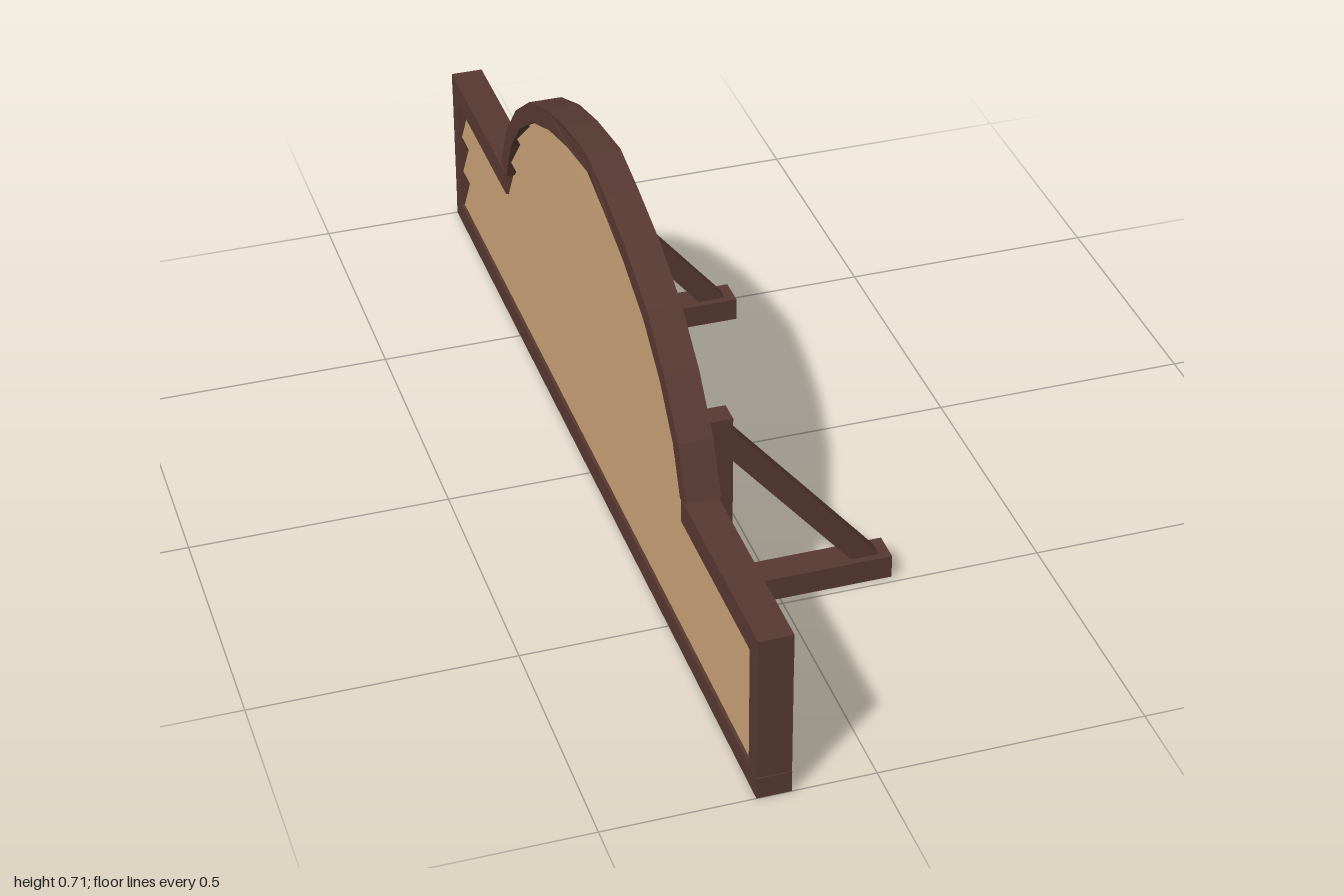
import * as THREE from 'three';

const darkWood = new THREE.MeshStandardMaterial({ color: 0x573931, flatShading: true });
const lightWood = new THREE.MeshStandardMaterial({ color: 0xb8946c, flatShading: true });

const FRAME_X = -0.187, FRAME_DEPTH = 0.064;

// Half outlines of the arch as [z, y], from foot to crown
const OUTER = [[0.608, 0.348], [0.563, 0.445], [0.483, 0.536], [0.38, 0.611], [0.252, 0.665], [0.13, 0.697], [0, 0.71]];
const INNER = [[0.572, 0.335], [0.532, 0.425], [0.458, 0.508], [0.36, 0.578], [0.238, 0.628], [0.12, 0.66], [0, 0.673]];
const MIDDLE = OUTER.map(([z, y], i) => [(z + INNER[i][0]) / 2, (y + INNER[i][1]) / 2]);

function add(parent, name, geometry, material = darkWood) {
  const mesh = new THREE.Mesh(geometry, material);
  mesh.name = name;
  parent.add(mesh);
  return mesh;
}

// Box given by its limits on each axis
function box(parent, name, [x0, x1], [y0, y1], [z0, z1]) {
  const g = new THREE.BoxGeometry(x1 - x0, y1 - y0, z1 - z0);
  g.translate((x0 + x1) / 2, (y0 + y1) / 2, (z0 + z1) / 2);
  return add(parent, name, g);
}

// Polygon extruded symmetrically about its plane
function slab(points, depth) {
  const shape = new THREE.Shape(points.map(([a, b]) => new THREE.Vector2(a, b)));
  return new THREE.ExtrudeGeometry(shape, { depth, bevelEnabled: false }).translate(0, 0, -depth / 2);
}

// Half width of the panel at height y
function halfWidth(y) {
  for (let i = 1; i < MIDDLE.length; i++) {
    const [z0, y0] = MIDDLE[i - 1], [z1, y1] = MIDDLE[i];
    if (y <= y1) return Math.min(0.6, z0 + (z1 - z0) * (y - y0) / (y1 - y0));
  }
  return 0.01;
}

function mirrorOutline(half) {
  return [...half, ...half.slice(0, -1).reverse().map(([z, y]) => [-z, y])];
}

function createFrame() {
  const frame = new THREE.Group();
  frame.name = 'frame';
  const xs = [FRAME_X - FRAME_DEPTH / 2, FRAME_X + FRAME_DEPTH / 2];
  box(frame, 'bottomRail', xs, [0, 0.043], [-1, 1]);
  for (const s of [-1, 1]) {
    const span = (a, b) => (s > 0 ? [a, b] : [-b, -a]);
    box(frame, 'endPost', xs, [0.044, 0.289], span(0.957, 0.999));
    box(frame, 'topRail', xs, [0.29, 0.338], span(0.578, 1));
  }

  // Arch band, its crown leaning slightly forward
  const band = [...mirrorOutline(OUTER), ...mirrorOutline(INNER).reverse()];
  const arch = slab(band, FRAME_DEPTH).rotateY(Math.PI / 2).translate(FRAME_X, 0, 0);
  const p = arch.attributes.position;
  for (let i = 0; i < p.count; i++) {
    if (Math.abs(p.getZ(i)) < 0.05) p.setX(i, p.getX(i) + 0.005);
  }
  arch.computeVertexNormals();
  add(frame, 'arch', arch);
  return frame;
}

// Clapboards: thick at the lower edge, thin at the upper edge
function createPlanks() {
  const planks = new THREE.Group();
  planks.name = 'planks';
  const pitch = 0.0836;
  for (let i = 0; i < 8; i++) {
    const y0 = 0.042 + i * pitch, y1 = Math.min(y0 + pitch, 0.69);
    const low = i < 3 ? 0.965 : halfWidth(y0), high = i < 3 ? 0.965 : halfWidth(y1);
    const g = new THREE.BoxGeometry(2, 2, 2);
    const p = g.attributes.position;
    for (let k = 0; k < p.count; k++) {
      const top = p.getY(k) > 0;
      p.setXYZ(k, FRAME_X + p.getX(k) * (top ? 0.004 : 0.026), top ? y1 : y0, p.getZ(k) * (top ? high : low));
    }
    g.computeVertexNormals();
    add(planks, 'plank', g, lightWood);
  }
  return planks;
}

// Triangular support: foot, upright and diagonal strut
function createSupport(z) {
  const support = new THREE.Group();
  support.name = 'support';
  box(support, 'foot', [-0.153, 0.217], [0, 0.047], [-0.03, 0.03]);
  box(support, 'upright', [-0.153, -0.09], [0.047, 0.415], [-0.022, 0.022]);
  add(support, 'strut', slab([[-0.092, 0.323], [0.143, 0.045], [0.198, 0.045], [-0.092, 0.389]], 0.032));
  support.position.z = z;
  return support;
}

export function createModel() {
  const model = new THREE.Group();
  model.name = 'archedFence';
  model.add(createFrame(), createPlanks(), createSupport(0.455), createSupport(-0.455));
  return model;
}
